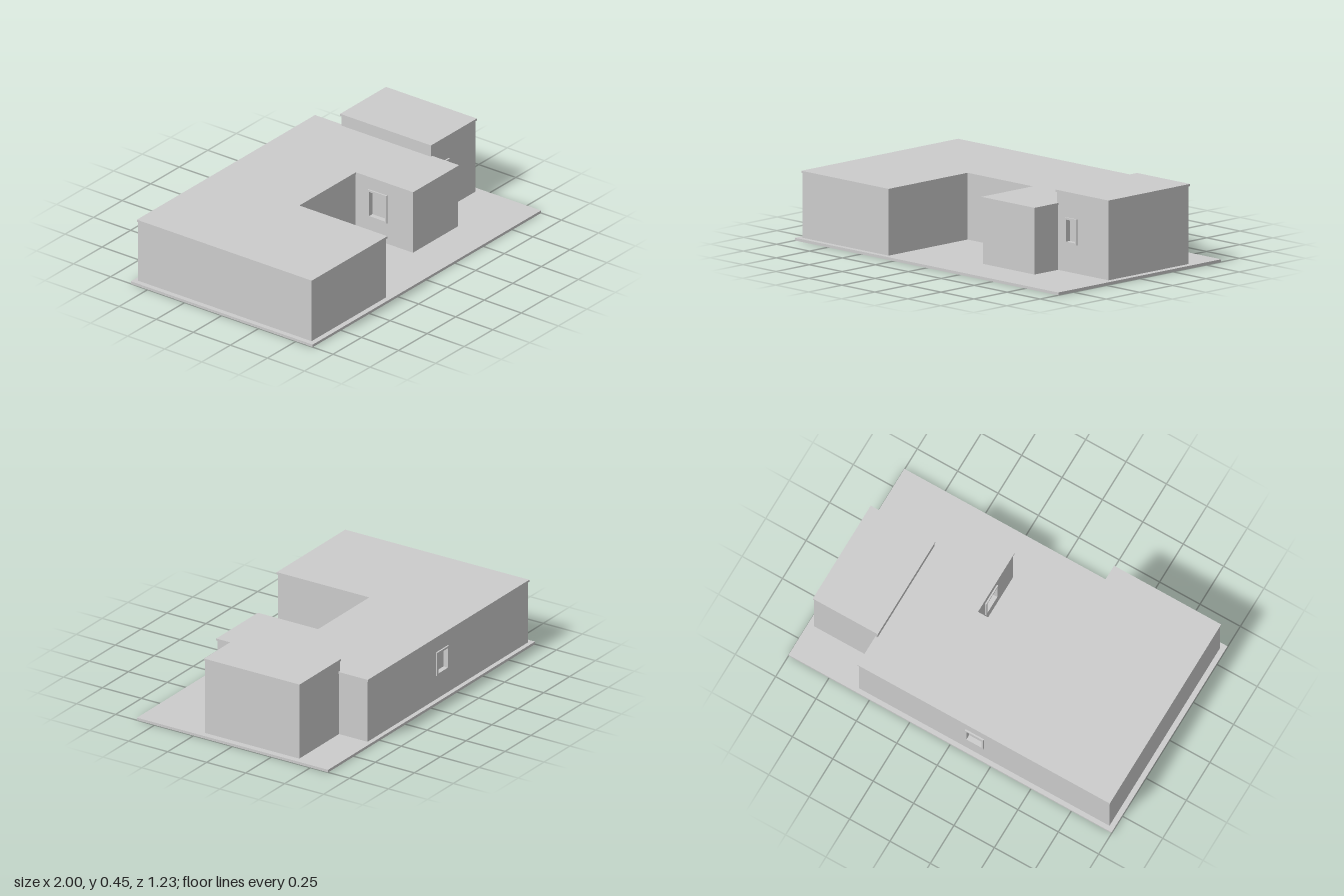
import * as THREE from 'three';

const BASE = 0.015, ROOF = 0.012, WALL = 0.03, OVERHANG = 0.005, FRAME = 0.009;
const concrete = new THREE.MeshStandardMaterial({ color: 0xcccccc });
concrete.name = 'light grey';

function mesh(name, geometry, parent) {
  const m = new THREE.Mesh(geometry, concrete);
  m.name = name;
  parent.add(m);
  return m;
}

function rect(Type, x0, y0, x1, y1) {
  return new Type([[x0, y0], [x1, y0], [x1, y1], [x0, y1]].map(([x, y]) => new THREE.Vector2(x, y)));
}

const extrude = (shape, depth) => new THREE.ExtrudeGeometry(shape, { depth, bevelEnabled: false });

// Pull every corner of a right-angled [x, z] outline inwards
function inset(points, d) {
  const normal = (a, b) => {
    const l = Math.hypot(b[0] - a[0], b[1] - a[1]);
    return [-(b[1] - a[1]) / l, (b[0] - a[0]) / l];
  };
  const n = points.length;
  return points.map((p, i) => {
    const u = normal(points[(i + n - 1) % n], p), v = normal(p, points[(i + 1) % n]);
    return [p[0] - d * (u[0] + v[0]), p[1] - d * (u[1] + v[1])];
  });
}

// Walls with recessed windows under a slightly overhanging flat roof
function building(name, outline, height, windows) {
  const group = new THREE.Group();
  group.name = name;

  const roofShape = new THREE.Shape(outline.map(([x, z]) => new THREE.Vector2(x, -z)));
  const roof = mesh('roof', extrude(roofShape, ROOF).rotateX(-Math.PI / 2), group);
  roof.position.y = height - ROOF;

  const corners = inset(outline, OVERHANG);
  corners.forEach((a, i) => {
    const b = corners[(i + 1) % corners.length];
    const dx = b[0] - a[0], dz = b[1] - a[1];
    // Local x runs along the wall, local z points outwards
    const side = new THREE.Group();
    side.name = 'wallSide';
    side.position.set(a[0], 0, a[1]);
    side.rotation.y = Math.atan2(-dz, dx);
    group.add(side);

    const wall = rect(THREE.Shape, 0, BASE, Math.hypot(dx, dz), height - ROOF);
    for (const w of windows.filter((w) => w.side === i)) {
      const { x0, x1, y0, y1 } = w, t = 0.011;
      wall.holes.push(rect(THREE.Path, x0 + t, y0 + t, x1 - t, y1 - t));
      const frame = rect(THREE.Shape, x0, y0, x1, y1);
      frame.holes.push(rect(THREE.Path, x0 + t, y0 + t, x1 - t, y1 - t));
      mesh('windowFrame', extrude(frame, FRAME), side);
      const pane = mesh('windowPane', new THREE.BoxGeometry(x1 - x0, y1 - y0, 0.006), side);
      pane.position.set((x0 + x1) / 2, (y0 + y1) / 2, -0.023);
    }
    mesh('wall', extrude(wall, WALL).translate(0, 0, -WALL), side);
  });
  return group;
}

export function createModel() {
  const model = new THREE.Group();
  model.name = 'courtyardHouse';

  // Ground slab
  mesh('baseSlab', new THREE.BoxGeometry(2, BASE, 1.226), model).position.y = BASE / 2;

  // Long house wrapped around the open courtyard
  model.add(building('mainHouse', [
    [-0.976, 0.588], [-0.313, 0.588], [-0.313, -0.006], [0.182, -0.006],
    [0.182, 0.38], [0.585, 0.38], [0.585, -0.592], [-0.976, -0.592],
  ], 0.381, [
    { side: 3, x0: 0.086, x1: 0.214, y0: 0.138, y1: 0.304 },
    { side: 6, x0: 0.66, x1: 0.775, y0: 0.154, y1: 0.29 },
  ]));

  // Taller block at the end
  model.add(building('tallBlock', [
    [0.567, 0.204], [0.969, 0.204], [0.969, -0.409], [0.567, -0.409],
  ], 0.452, [
    { side: 0, x0: 0.069, x1: 0.156, y0: 0.17, y1: 0.312 },
  ]));

  return model;
}
